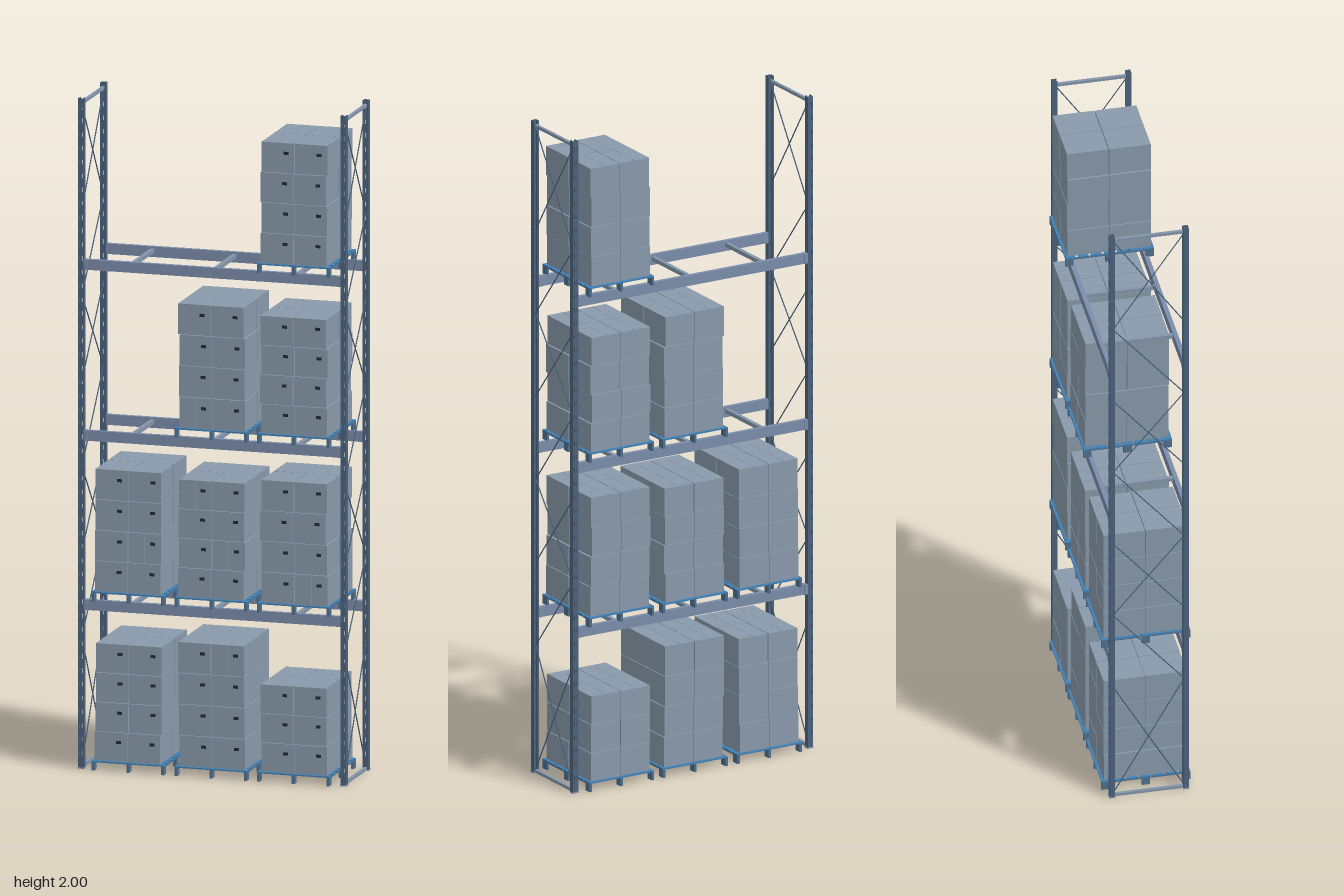
import * as THREE from 'three';

const paint = (color) => new THREE.MeshStandardMaterial({ color });
const cartonGrey = paint(0x899aab);
const beamBlue = paint(0x7b8dab);
const frameBlue = paint(0x4c637c);
const strutGrey = paint(0x8496ab);
const deckBlue = paint(0x4080b4);
const footBlue = paint(0x50708e);
const dark = paint(0x222a33);

const HX = 0.4, HZ = 0.11;            // upright centres
const SHELVES = [0.49, 0.995, 1.505]; // beam centre heights

function box(parent, name, size, pos, mat) {
  const m = new THREE.Mesh(new THREE.BoxGeometry(...size), mat);
  m.name = name;
  m.position.set(...pos);
  parent.add(m);
}

function rod(parent, name, a, b, r) {
  const d = b.clone().sub(a);
  const m = new THREE.Mesh(new THREE.CylinderGeometry(r, r, d.length(), 6), frameBlue);
  m.name = name;
  m.position.copy(a).add(b).multiplyScalar(0.5);
  m.quaternion.setFromUnitVectors(new THREE.Vector3(0, 1, 0), d.normalize());
  parent.add(m);
}

// small repeatable jitter in -1..1
let seed = 7;
function jitter() {
  seed = (seed * 16807) % 2147483647;
  return (seed / 2147483647) * 2 - 1;
}

// slotted face plate of an upright, standing in the xy plane
function slottedPlate() {
  const w = 0.009, s = new THREE.Shape();
  s.moveTo(-w, 0).lineTo(w, 0).lineTo(w, 2).lineTo(-w, 2).closePath();
  for (let i = 0; i < 48; i++) {
    const y = 0.04 + i * 0.041;
    for (const x of [-0.004, 0.004]) {
      const h = new THREE.Path();
      h.moveTo(x - 0.0015, y).lineTo(x - 0.0015, y + 0.014)
        .lineTo(x + 0.0015, y + 0.014).lineTo(x + 0.0015, y).closePath();
      s.holes.push(h);
    }
  }
  return new THREE.ExtrudeGeometry(s, { depth: 0.002, bevelEnabled: false });
}

// channel-section upright, slotted face outwards
function upright(plate) {
  const g = new THREE.Group();
  g.name = 'upright';
  const face = new THREE.Mesh(plate, frameBlue);
  face.name = 'slottedFace';
  face.position.z = 0.006;
  g.add(face);
  for (const s of [-1, 1]) {
    box(g, 'flange', [0.002, 2, 0.014], [s * 0.008, 1, -0.001], frameBlue);
    box(g, 'lip', [0.005, 2, 0.002], [s * 0.0065, 1, -0.007], frameBlue);
  }
  box(g, 'footPlate', [0.02, 0.004, 0.018], [0, 0.002, 0], strutGrey);
  return g;
}

// two uprights with struts and diagonal bracing
function sideFrame(x, plate) {
  const g = new THREE.Group();
  g.name = 'sideFrame';
  for (const s of [-1, 1]) {
    const u = upright(plate);
    u.position.z = s * HZ;
    if (s < 0) u.rotation.y = Math.PI;
    g.add(u);
  }
  for (const y of [0.006, 1.985])
    box(g, 'strut', [0.009, 0.009, 2 * HZ - 0.012], [0, y, 0], strutGrey);
  const brace = (y0, y1, s) => rod(g, 'brace',
    new THREE.Vector3(0, y0, s * (HZ - 0.004)), new THREE.Vector3(0, y1, -s * (HZ - 0.004)), 0.0018);
  for (const [y0, y1] of [[0.01, 0.39], [0.645, 0.9], [1.155, 1.41], [1.665, 1.98]]) {
    brace(y0, y1, 1);
    brace(y0, y1, -1);
  }
  for (const y of [0.39, 0.9, 1.41]) brace(y, y + 0.255, 1);
  g.position.x = x;
  return g;
}

// front and back beams with end connectors and cross bars
function shelf(y) {
  const g = new THREE.Group();
  g.name = 'shelf';
  for (const s of [-1, 1]) {
    box(g, 'beam', [2 * HX - 0.04, 0.031, 0.013], [0, 0, s * HZ], beamBlue);
    for (const e of [-1, 1])
      box(g, 'connector', [0.012, 0.031, 0.0165], [e * (HX - 0.015), 0, s * HZ], beamBlue);
  }
  for (const x of [-0.25, 0, 0.25])
    box(g, 'crossBar', [0.012, 0.012, 2 * HZ - 0.013], [x, 0.004, 0], strutGrey);
  g.position.y = y;
  return g;
}

// slatted pallet on nine feet
function pallet() {
  const g = new THREE.Group();
  g.name = 'pallet';
  for (let i = 0; i < 7; i++)
    box(g, 'deckBoard', [0.22, 0.004, 0.031], [0, 0.027, -0.1165 + i * 0.03883], deckBlue);
  for (const x of [-0.106, 0, 0.106]) {
    box(g, 'stringer', [0.008, 0.003, 0.264], [x, 0.0235, 0], footBlue);
    for (const z of [-0.12, 0, 0.12]) box(g, 'foot', [0.008, 0.022, 0.024], [x, 0.011, z], footBlue);
  }
  return g;
}

// carton with a fine seam over top and front, and a hand hole in front
function carton(h, front) {
  const g = new THREE.Group();
  g.name = 'carton';
  const w = 0.099, d = 0.1235;
  box(g, 'cartonBody', [w, h - 0.0015, d], [0, h / 2, 0], cartonGrey);
  box(g, 'topSeam', [0.0012, 0.001, d - 0.002], [0, h - 0.0007, 0], cartonGrey);
  if (front) {
    box(g, 'frontSeam', [0.0012, h - 0.003, 0.001], [0, h / 2, d / 2], cartonGrey);
    box(g, 'handHole', [0.015, 0.009, 0.001], [0.024, h * 0.66, d / 2], dark);
  }
  return g;
}

// pallet carrying a 2 x 2 stack of cartons
function load(x, y, height, layers) {
  const g = new THREE.Group();
  g.name = 'loadedPallet';
  g.add(pallet());
  const h = (height - 0.029) / layers;
  for (let l = 0; l < layers; l++) {
    const dx = jitter() * 0.003;
    for (const sx of [-1, 1]) for (const sz of [-1, 1]) {
      const c = carton(h, sz > 0);
      c.position.set(sx * 0.0505 + dx, 0.029 + l * h, sz * 0.0627 + jitter() * 0.0007);
      g.add(c);
    }
  }
  g.position.set(x, y, 0);
  return g;
}

export function createModel() {
  const rack = new THREE.Group();
  rack.name = 'palletRack';
  const plate = slottedPlate();
  for (const s of [-1, 1]) rack.add(sideFrame(s * HX, plate));
  for (const y of SHELVES) rack.add(shelf(y));

  // x, base y, height with pallet, carton layers
  const loads = [
    [-0.253, 0, 0.38, 4], [0, 0, 0.4, 4], [0.251, 0, 0.29, 3],
    [-0.253, 0.505, 0.395, 4], [0, 0.505, 0.38, 4], [0.251, 0.505, 0.395, 4],
    [0, 1.01, 0.4, 4], [0.251, 1.01, 0.38, 4],
    [0.251, 1.518, 0.392, 4],
  ];
  for (const l of loads) rack.add(load(...l));
  return rack;
}
